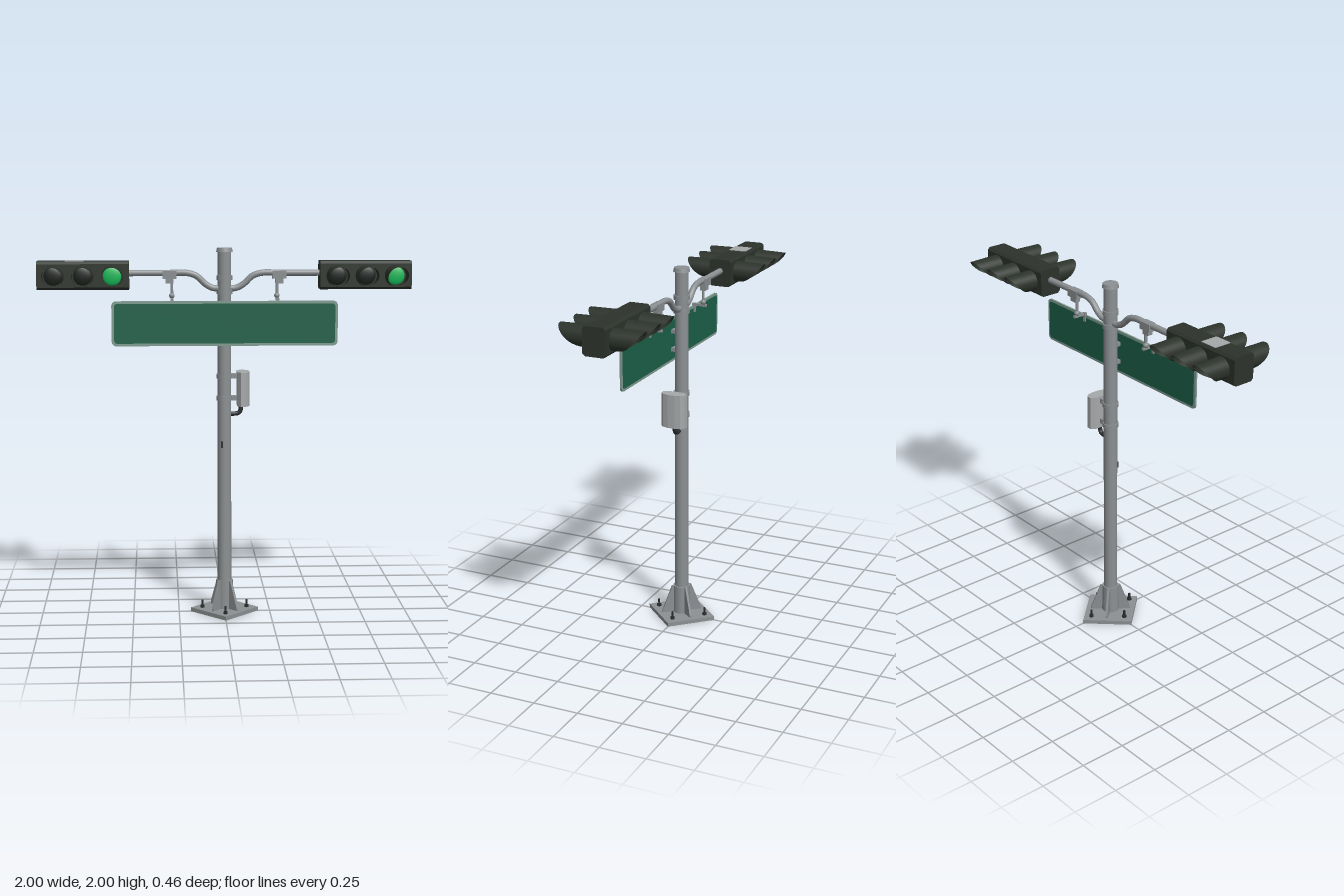
import * as THREE from 'three';

const mat = (name, color, side = THREE.FrontSide) => {
  const m = new THREE.MeshStandardMaterial({ color, side });
  m.name = name;
  return m;
};

export function createModel() {
  const steel = mat('galvanised steel', 0x8c9092);
  const cabinetGrey = mat('cabinet grey', 0xa6a9aa);
  const housing = mat('signal housing', 0x2c332b, THREE.DoubleSide);
  const darkLens = mat('unlit lens', 0x1b201c);
  const greenLens = mat('green lens', 0x14b858);
  const amberLens = mat('amber lens', 0xc87a1e);
  const signGreen = mat('sign green', 0x1d6049);
  const signRim = mat('sign border', 0x809c90);
  const black = mat('black fittings', 0x2a2c2e);
  const root = new THREE.Group();
  root.name = 'trafficSignal';

  const add = (parent, name, geo, material, x = 0, y = 0, z = 0) => {
    const m = new THREE.Mesh(geo, material);
    m.name = name;
    m.position.set(x, y, z);
    parent.add(m);
    return m;
  };
  const cyl = (r0, r1, h, n = 24) => new THREE.CylinderGeometry(r0, r1, h, n);
  const box = (x, y, z) => new THREE.BoxGeometry(x, y, z);
  const tube = (pts, r, n = 24) => new THREE.TubeGeometry(
    new THREE.CatmullRomCurve3(pts.map(p => new THREE.Vector3(...p))), n, r, 12);
  const polygon = pts => new THREE.Shape(pts.map(p => new THREE.Vector2(...p)));
  const extrude = (shape, depth) => new THREE.ExtrudeGeometry(shape, { depth, bevelEnabled: false, curveSegments: 6 });

  // Pole with cap, base sleeve and clamp collars
  add(root, 'pole', cyl(0.036, 0.038, 1.97), steel, 0, 1.0, 0);
  add(root, 'poleCap', cyl(0.04, 0.045, 0.022), steel, 0, 1.989, 0);
  add(root, 'baseSleeve', cyl(0.046, 0.048, 0.16), steel, 0, 0.1, 0);
  for (const y of [1.84, 1.765, 1.31, 1.19])
    add(root, 'collar', cyl(0.043, 0.043, 0.024), steel, 0, y, 0);
  add(root, 'poleHatch', box(0.012, 0.035, 0.006), black, -0.015, 0.94, 0.036);

  // Diamond base plate, gussets and anchor bolts
  const plate = extrude(polygon([[0.185, 0], [0, 0.2], [-0.185, 0], [0, -0.2]]), 0.022);
  plate.rotateX(-Math.PI / 2);
  add(root, 'basePlate', plate, steel);
  const fin = extrude(polygon([[0.03, 0.02], [0.11, 0.02], [0.11, 0.035], [0.055, 0.18], [0.03, 0.18]]), 0.012);
  fin.translate(0, 0, -0.006);
  for (const sx of [-1, 1]) for (const sz of [-1, 1])
    add(root, 'gusset', fin, steel).rotation.y = Math.atan2(sz * 0.085, sx * 0.067);
  for (const [x, z] of [[0.122, 0], [-0.122, 0], [0, 0.14], [0, -0.14]]) {
    add(root, 'anchorBolt', cyl(0.006, 0.006, 0.045, 8), black, x, 0.042, z);
    add(root, 'anchorNut', cyl(0.013, 0.013, 0.012, 6), black, x, 0.028, z);
  }

  // Visor: tube whose reach shrinks from the top to the bottom
  const visor = new THREE.CylinderGeometry(0.054, 0.057, 1, 28, 6, true);
  visor.rotateX(Math.PI / 2);
  const p = visor.attributes.position;
  for (let i = 0; i < p.count; i++) {
    const t = Math.min(1, Math.max(0, (p.getY(i) / 0.055 + 1) / 2));
    p.setZ(i, (p.getZ(i) + 0.5) * (0.012 + 0.155 * Math.sqrt(t)));
  }
  visor.computeVertexNormals();
  const lens = new THREE.SphereGeometry(0.05, 24, 6, 0, Math.PI * 2, 0, Math.PI / 2);
  lens.rotateX(Math.PI / 2).scale(1, 1, 0.25);

  // Signal heads, each with three lamps on both faces
  const bodyShape = polygon([[-0.063, -0.062], [-0.05, -0.075], [0.05, -0.075], [0.063, -0.062],
    [0.063, 0.062], [0.05, 0.075], [-0.05, 0.075], [-0.063, 0.062]]);
  for (const s of [-1, 1]) {
    const head = new THREE.Group();
    head.name = s > 0 ? 'leftSignalHead' : 'rightSignalHead';
    head.position.set(s * 0.755, 1.855, 0);
    root.add(head);
    const body = extrude(bodyShape, 0.49);
    body.translate(0, 0, -0.245).rotateY(Math.PI / 2);
    add(head, 'housing', body, housing);
    for (const face of [1, -1]) {
      const side = new THREE.Group();
      side.name = face > 0 ? 'frontLamps' : 'backLamps';
      side.rotation.y = face > 0 ? 0 : Math.PI;
      head.add(side);
      for (let i = 0; i < 3; i++) {
        const x = (i - 1) * 0.156;
        const unlit = face < 0 && s > 0 ? amberLens : darkLens;
        add(side, 'lens', lens, i === 2 ? greenLens : unlit, x, -0.002, 0.062);
        add(side, 'visor', visor, housing, x, -0.002, 0.062);
      }
    }
    if (s < 0) add(head, 'topPatch', box(0.1, 0.004, 0.1), cabinetGrey, -0.045, 0.076, 0);

    // Curved arm from pole to head
    add(root, 'arm', tube([[s * 0.02, 1.785, 0], [s * 0.06, 1.785, 0], [s * 0.1, 1.805, 0], [s * 0.15, 1.85, 0],
      [s * 0.2, 1.866, 0], [s * 0.3, 1.866, 0], [s * 0.52, 1.866, 0]], 0.017, 40), steel);

    // Sign hanger: clamp, drop rod, and bracket reaching forward
    add(root, 'hangerClamp', box(0.075, 0.042, 0.044), steel, s * 0.295, 1.856, 0);
    add(root, 'hangerNeck', box(0.042, 0.03, 0.032), steel, s * 0.295, 1.825, 0);
    add(root, 'hangerRod', cyl(0.008, 0.008, 0.11, 10), steel, s * 0.282, 1.775, 0);
    add(root, 'hangerJoint', new THREE.SphereGeometry(0.015, 12, 8), steel, s * 0.282, 1.745, 0);
    add(root, 'hangerBracket', box(0.014, 0.012, 0.085), steel, s * 0.282, 1.727, 0.022);
    add(root, 'hangerPlate', box(0.018, 0.05, 0.006), steel, s * 0.282, 1.71, 0.05);
  }

  // Street sign: rimmed panel with a green face on both sides
  const rounded = (w, h, r) => {
    const a = w / 2, b = h / 2, q = new THREE.Shape();
    q.moveTo(-a + r, -b);
    q.absarc(a - r, -b + r, r, -Math.PI / 2, 0);
    q.absarc(a - r, b - r, r, 0, Math.PI / 2);
    q.absarc(-a + r, b - r, r, Math.PI / 2, Math.PI);
    q.absarc(-a + r, -b + r, r, Math.PI, Math.PI * 1.5);
    return q;
  };
  const sign = new THREE.Group();
  sign.name = 'sign';
  sign.position.set(0, 1.6, 0.06);
  root.add(sign);
  add(sign, 'signRim', extrude(rounded(1.21, 0.24, 0.025), 0.01), signRim, 0, 0, -0.005);
  add(sign, 'signFaces', extrude(rounded(1.182, 0.212, 0.016), 0.014), signGreen, 0, 0, -0.007);
  for (const y of [1.65, 1.55])
    add(root, 'signMount', box(0.04, 0.02, 0.03), steel, 0, y, 0.042);

  // Control cabinet with straps and a cable elbow
  const plan = polygon([[0.068, -0.045], [0.085, -0.07], [0.112, -0.068], [0.128, -0.05], [0.135, -0.02],
    [0.135, 0.02], [0.128, 0.05], [0.112, 0.068], [0.085, 0.07], [0.068, 0.045]]);
  const cabinet = extrude(plan, 0.185);
  cabinet.rotateX(-Math.PI / 2);
  add(root, 'cabinet', cabinet, cabinetGrey, 0, 1.15, 0);
  for (const y of [1.31, 1.19])
    add(root, 'cabinetBracket', box(0.05, 0.026, 0.035), steel, 0.055, y, 0);
  add(root, 'cableElbow', tube([[0.088, 1.16, 0], [0.088, 1.125, 0], [0.075, 1.108, 0], [0.03, 1.103, 0]], 0.012), black);

  return root;
}
